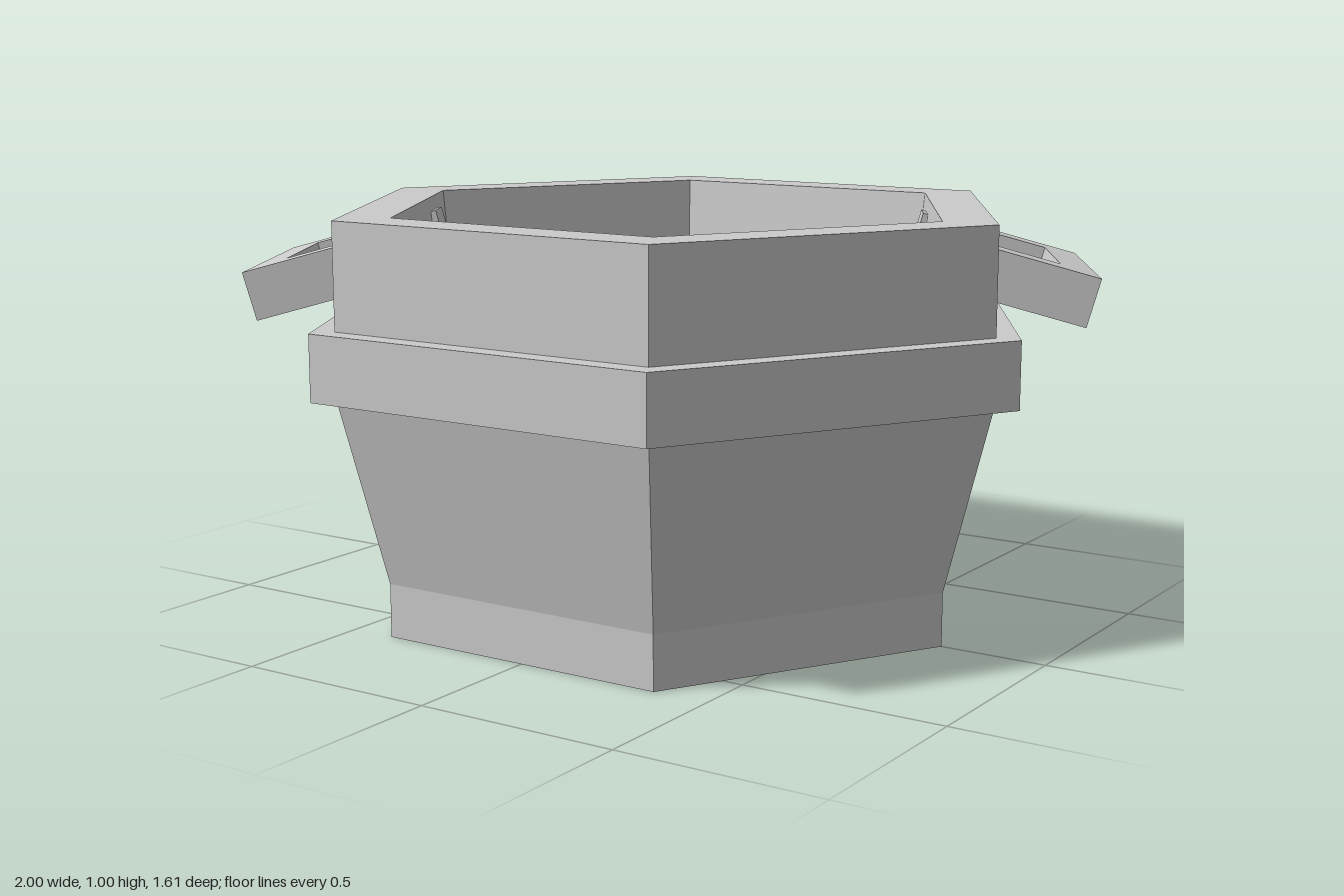
import * as THREE from 'three';

const material = new THREE.MeshStandardMaterial({ color: 0xcccccc, flatShading: true });
const CENTRE_X = -0.012;

// Hexagonal pot: recessed foot, flared wall, band, rim and tapered hollow inside
function createPot() {
  const profile = [
    [0, 0.065], [0.635, 0.065], [0.635, 0], [0.75, 0], [0.75, 0.13],
    [0.868, 0.58], [0.93, 0.58], [0.93, 0.74], [0.868, 0.74],
    [0.868, 0.995], [0.727, 0.995], [0.635, 0.13], [0, 0.13],
  ].map(([r, y]) => new THREE.Vector2(r, y));
  const pot = new THREE.Mesh(new THREE.LatheGeometry(profile, 6, Math.PI / 2), material);
  pot.name = 'pot';
  return pot;
}

// U-shaped handle whose legs pass through the wall, sloping down outwards
function createHandle(name, side) {
  const half = 0.26, leg = 0.092, bar = 0.088, length = 0.404, thickness = 0.119;
  const tilt = THREE.MathUtils.degToRad(15.5);
  const outline = [
    [-half, -length], [-half + leg, -length], [-half + leg, -bar], [half - leg, -bar],
    [half - leg, -length], [half, -length], [half, 0], [-half, 0],
  ].map(([x, y]) => new THREE.Vector2(x, y));
  const geometry = new THREE.ExtrudeGeometry(new THREE.Shape(outline), { depth: thickness, bevelEnabled: false });
  geometry.translate(side * 0.013, 0, -thickness);

  // Frame: along the wall, outwards down the slope, and normal to the slope
  const out = new THREE.Vector3(side * Math.cos(Math.PI / 6), 0, -side * 0.5);
  const along = new THREE.Vector3(-out.z, 0, out.x);
  const slope = out.clone().multiplyScalar(Math.cos(tilt)).setY(-Math.sin(tilt));
  const normal = along.clone().cross(slope);
  const frame = new THREE.Matrix4().makeBasis(along, slope, normal);
  frame.setPosition(out.multiplyScalar(1.004).setY(0.855));
  geometry.applyMatrix4(frame);

  const handle = new THREE.Mesh(geometry, material);
  handle.name = name;
  return handle;
}

export function createModel() {
  const model = new THREE.Group();
  model.name = 'hexagonalPot';
  model.add(createPot(), createHandle('leftHandle', 1), createHandle('rightHandle', -1));
  for (const part of model.children) part.position.x = CENTRE_X;
  return model;
}
